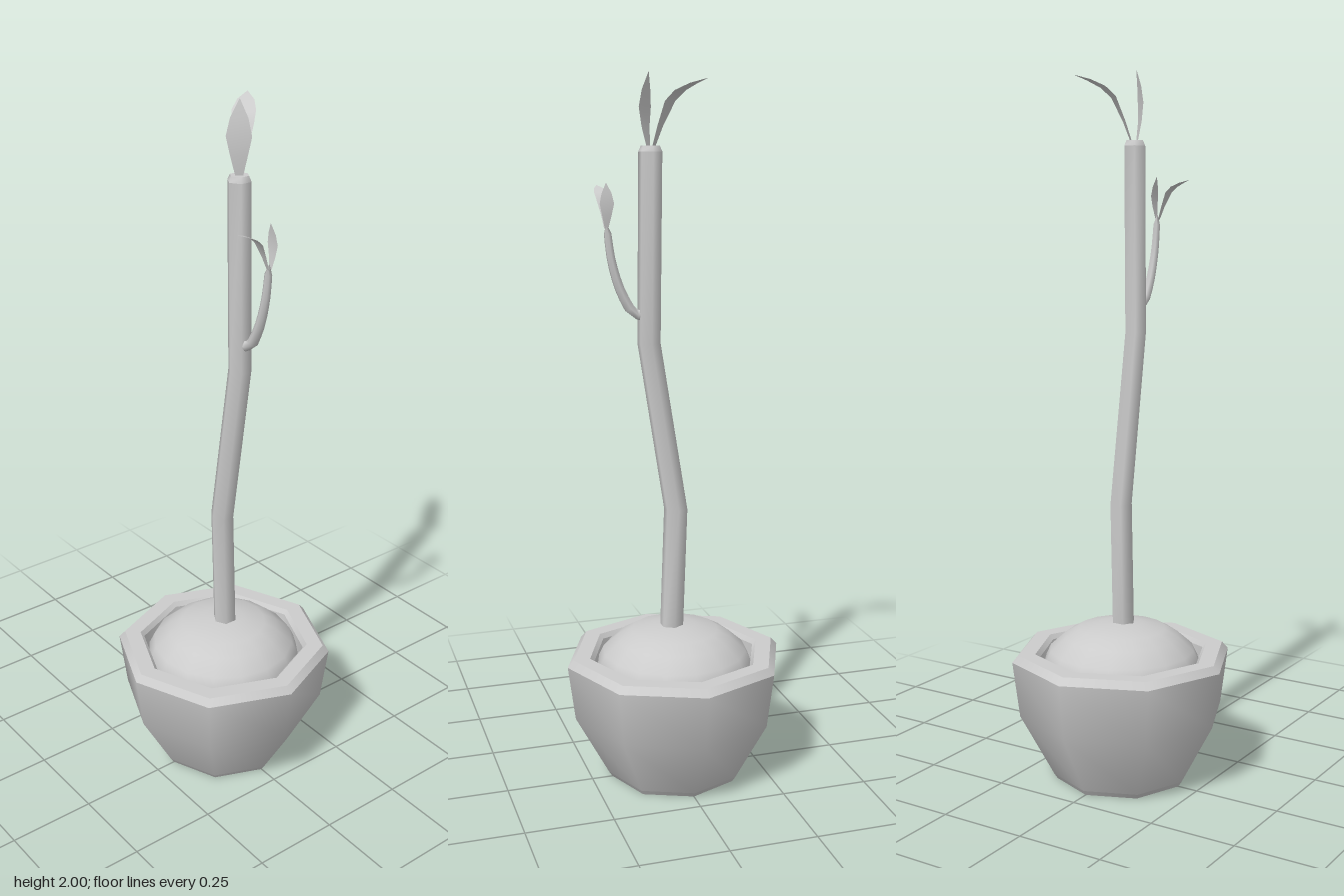
import * as THREE from 'three';

const grey = new THREE.MeshStandardMaterial({ color: 0xcccccc });
const leafGrey = new THREE.MeshStandardMaterial({ color: 0xcccccc, side: THREE.DoubleSide });

function mesh(name, geometry, material = grey) {
  const m = new THREE.Mesh(geometry, material);
  m.name = name;
  return m;
}

function lathe(name, profile, sides) {
  return mesh(name, new THREE.LatheGeometry(profile.map(p => new THREE.Vector2(...p)), sides));
}

// Six-sided stem through level rings given as [y, z, radius]
function ringStem(rings, sides = 6) {
  const pos = [], index = [];
  for (const [y, z, r] of rings) {
    for (let i = 0; i < sides; i++) {
      const a = (i / sides) * Math.PI * 2;
      pos.push(r * Math.cos(a), y, z + r * Math.sin(a));
    }
  }
  for (let k = 0; k < rings.length - 1; k++) {
    for (let i = 0; i < sides; i++) {
      const a = k * sides + i, b = k * sides + (i + 1) % sides;
      index.push(a, a + sides, b, b, a + sides, b + sides);
    }
  }
  const g = new THREE.BufferGeometry();
  g.setAttribute('position', new THREE.Float32BufferAttribute(pos, 3));
  g.setIndex(index);
  g.computeVertexNormals();
  return g;
}

// Tube narrowed along its length and closed at the tip
function taperedTube(points, r0, r1, steps = 10, sides = 6) {
  const curve = new THREE.CatmullRomCurve3(points.map(p => new THREE.Vector3(...p)));
  const g = new THREE.TubeGeometry(curve, steps, r0, sides);
  const pos = g.attributes.position, v = new THREE.Vector3();
  for (let i = 0; i < pos.count; i++) {
    const t = Math.floor(i / (sides + 1)) / steps;
    const scale = t === 1 ? 0 : THREE.MathUtils.lerp(1, r1 / r0, t);
    const c = curve.getPointAt(t);
    v.fromBufferAttribute(pos, i).sub(c).multiplyScalar(scale).add(c);
    pos.setXYZ(i, v.x, v.y, v.z);
  }
  return g;
}

// Thin blade along a spine in the xy plane, spread in z; stations are [x, y, halfWidth]
function leafBlade(stations) {
  const pos = [], index = [];
  stations.forEach(([x, y, w], k) => {
    pos.push(x, y, w, x, y, -w);
    if (k) {
      const a = 2 * k - 2;
      index.push(a, a + 1, a + 2, a + 1, a + 3, a + 2);
    }
  });
  const g = new THREE.BufferGeometry();
  g.setAttribute('position', new THREE.Float32BufferAttribute(pos, 3));
  g.setIndex(index);
  g.computeVertexNormals();
  return g;
}

// One upright leaf and one leaf arching over towards local +x
function leafPair(name, position, turn, scale) {
  const pair = new THREE.Group();
  pair.name = name;
  pair.add(
    mesh('uprightLeaf', leafBlade([
      [-0.005, -0.01, 0.008], [-0.014, 0.05, 0.022], [-0.016, 0.1, 0.033],
      [-0.012, 0.145, 0.023], [-0.004, 0.19, 0.001],
    ]), leafGrey),
    mesh('archingLeaf', leafBlade([
      [0.008, -0.01, 0.008], [0.03, 0.05, 0.016], [0.06, 0.115, 0.029],
      [0.09, 0.142, 0.031], [0.13, 0.16, 0.022], [0.17, 0.172, 0.001],
    ]), leafGrey),
  );
  pair.position.set(...position);
  pair.rotation.y = turn;
  pair.scale.setScalar(scale);
  return pair;
}

export function createModel() {
  const model = new THREE.Group();
  model.name = 'pottedPlant';

  // Eight-sided pot, in bands so the rim edges stay crisp
  const pot = new THREE.Group();
  pot.name = 'pot';
  pot.add(
    lathe('potBase', [[0, 0], [0.19, 0]], 8),
    lathe('potBaseBevel', [[0.19, 0], [0.2, 0.015]], 8),
    lathe('potWall', [[0.2, 0.015], [0.297, 0.195], [0.318, 0.355]], 8),
    lathe('potRimBevel', [[0.318, 0.355], [0.3, 0.375]], 8),
    lathe('potRim', [[0.3, 0.375], [0.252, 0.375]], 8),
    lathe('potInnerBevel', [[0.252, 0.375], [0.241, 0.362]], 8),
    lathe('potInside', [[0.241, 0.362], [0.23, 0.28]], 8),
    lathe('potFloor', [[0.23, 0.28], [0, 0.28]], 8),
  );
  model.add(pot);

  // Mounded soil
  model.add(lathe('soil', [
    [0.228, 0.29], [0.226, 0.34], [0.208, 0.378], [0.165, 0.416],
    [0.125, 0.439], [0.06, 0.452], [0, 0.455],
  ], 16));

  // Bent trunk with a bevelled, capped top
  const trunk = new THREE.Group();
  trunk.name = 'trunk';
  trunk.add(
    mesh('trunkStem', ringStem([
      [0.4, 0.01, 0.034], [0.8, -0.004, 0.034], [1.28, 0.073, 0.033], [1.795, 0.067, 0.033],
    ])),
    mesh('trunkTop', ringStem([[1.795, 0.067, 0.033], [1.81, 0.067, 0.026]])),
    mesh('trunkCap', ringStem([[1.81, 0.067, 0.026], [1.81, 0.067, 0]])),
  );
  model.add(trunk);

  // Side shoot curving up from the front of the trunk
  model.add(mesh('branch', taperedTube([
    [0, 1.365, 0.075], [0, 1.36, 0.11], [0, 1.41, 0.145], [0, 1.5, 0.175], [0, 1.61, 0.19],
  ], 0.016, 0.01)));

  model.add(
    leafPair('topLeaves', [0, 1.81, 0.067], Math.PI / 4, 1),
    leafPair('branchLeaves', [0, 1.6, 0.19], Math.PI, 0.6),
  );
  return model;
}
